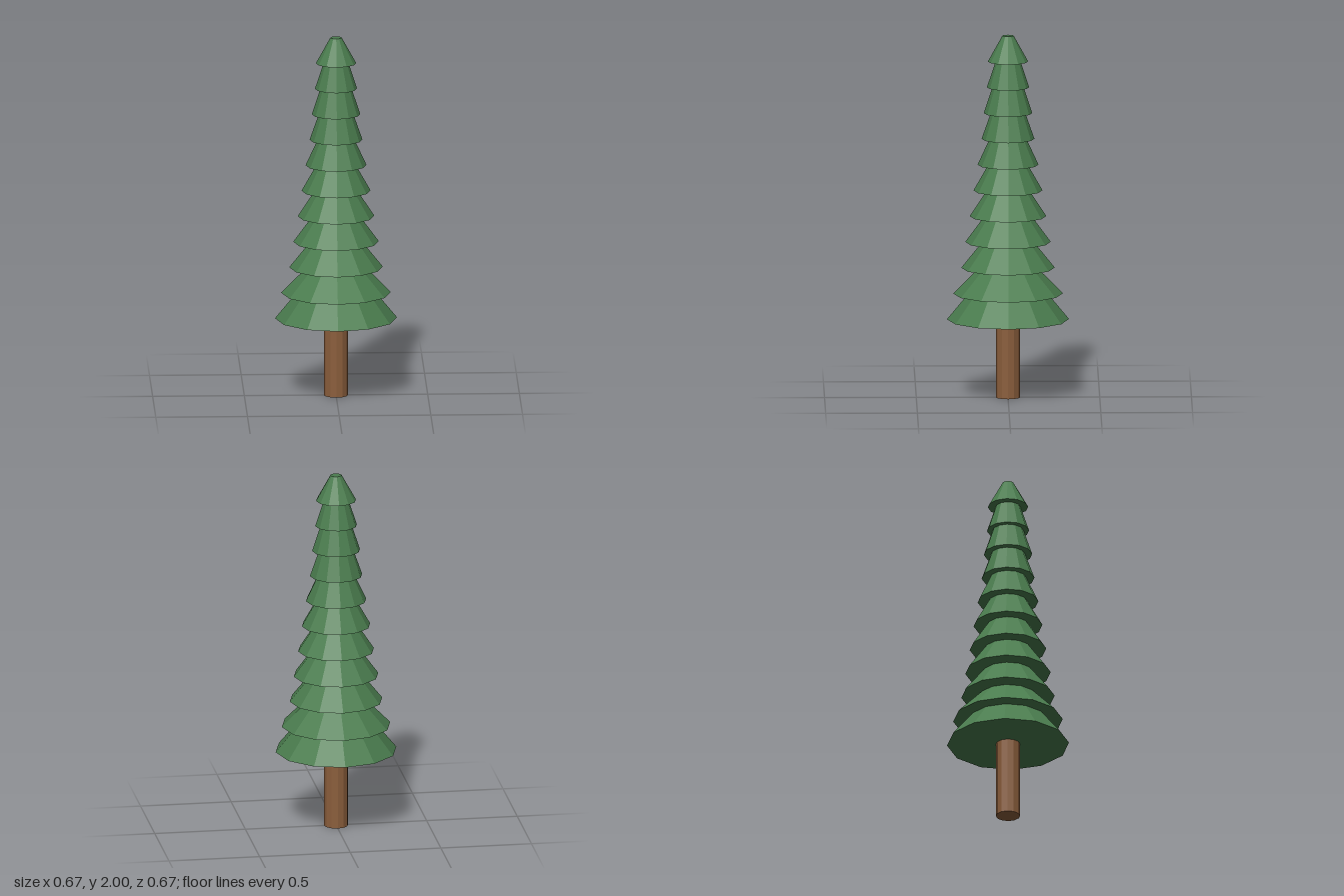
import * as THREE from 'three';

const SIDES = 12;

export function createModel() {
  const tree = new THREE.Group();
  tree.name = 'pineTree';

  const needles = new THREE.MeshStandardMaterial({ name: 'needleGreen', color: 0x4a7c4e, flatShading: true });
  const bark = new THREE.MeshStandardMaterial({ name: 'barkBrown', color: 0x8b5e3c, flatShading: true });

  // Faceted frustum standing on the given height
  const frustum = (name, topRadius, bottomRadius, bottom, height, material) => {
    const geometry = new THREE.CylinderGeometry(topRadius, bottomRadius, height, SIDES);
    geometry.translate(0, bottom + height / 2, 0);
    const mesh = new THREE.Mesh(geometry, material);
    mesh.name = name;
    tree.add(mesh);
  };

  // Trunk
  const foliageBase = 0.432;
  frustum('trunk', 0.066, 0.066, 0, foliageBase + 0.01, bark);

  // Stacked branch tiers, from the ground up: [bottom radius, top radius]
  const tiers = [
    [0.333, 0.215], [0.299, 0.158], [0.255, 0.14], [0.233, 0.128],
    [0.209, 0.115], [0.188, 0.107], [0.166, 0.1], [0.144, 0.094],
    [0.132, 0.085], [0.115, 0.068], [0.11, 0.031],
  ];
  const tierHeight = (2 - foliageBase) / tiers.length;
  tiers.forEach(([bottomRadius, topRadius], i) => {
    frustum(`branchTier${i + 1}`, topRadius, bottomRadius, foliageBase + i * tierHeight, tierHeight, needles);
  });

  return tree;
}
